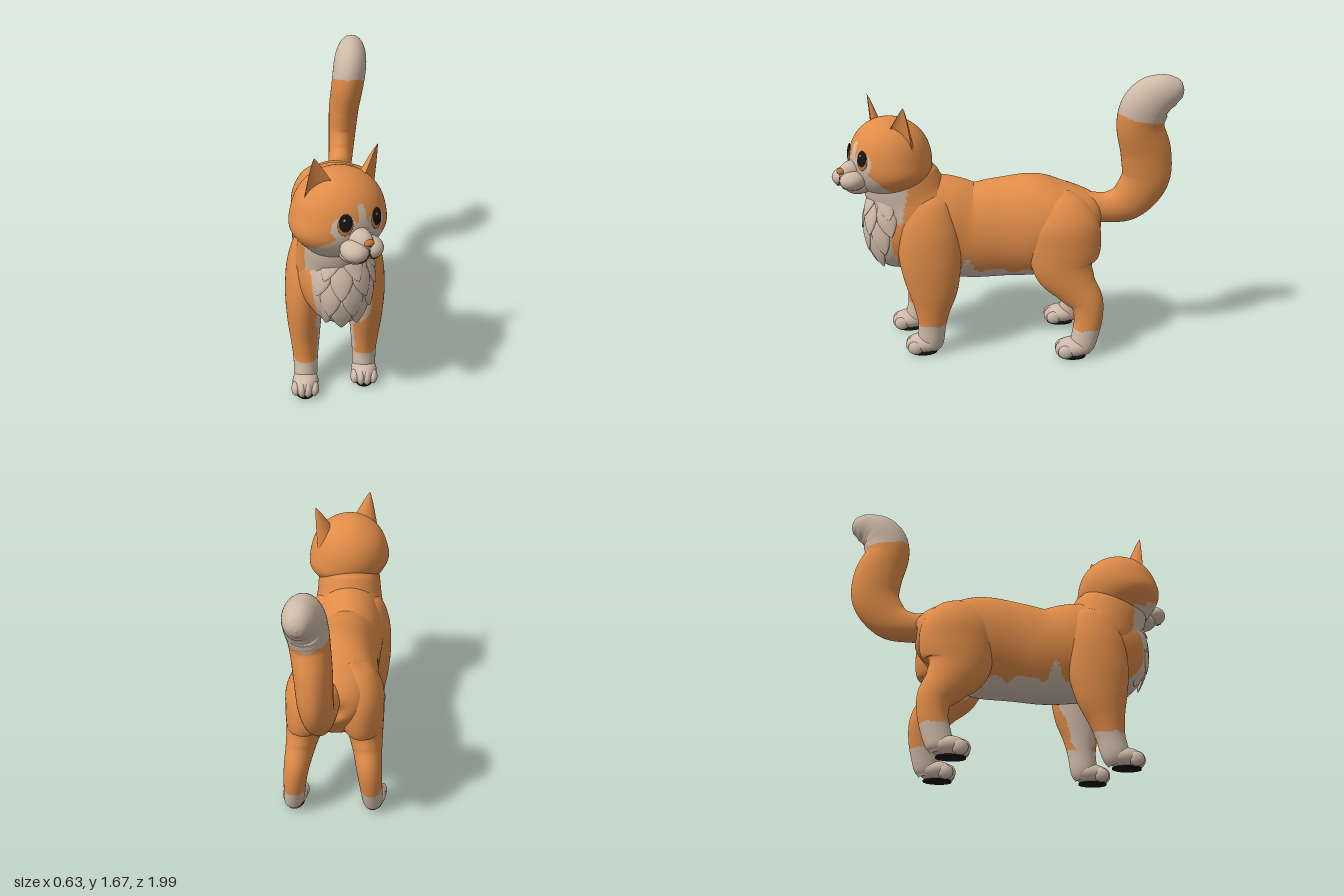
import * as THREE from 'three';

const mat = (name, color) => Object.assign(new THREE.MeshStandardMaterial({ color }), { name });
const V = (x, y, z) => new THREE.Vector3(x, y, z);

export function createModel() {
  const orange = mat('orange fur', 0xe08c48), cream = mat('cream fur', 0xcfbaa8);
  const black = mat('black', 0x181514), amber = mat('amber', 0xc9783a);
  const brown = mat('mouth brown', 0x6b4a38);
  const cat = new THREE.Group();
  cat.name = 'cat';

  const add = (parent, name, geo, material, pos = [0, 0, 0], scale = [1, 1, 1]) => {
    const m = new THREE.Mesh(geo, material);
    m.name = name;
    m.position.set(...pos);
    m.scale.set(...scale);
    parent.add(m);
    return m;
  };

  // Sorts triangles into orange and cream groups by a rule on their centres
  const paint = (geo, isCream) => {
    const p = geo.attributes.position, idx = geo.index.array, sets = [[], []];
    for (let i = 0; i < idx.length; i += 3) {
      const t = [idx[i], idx[i + 1], idx[i + 2]];
      const c = t.reduce((s, k) => s.add(V(p.getX(k), p.getY(k), p.getZ(k))), V(0, 0, 0)).divideScalar(3);
      sets[isCream(c.x, c.y, c.z) ? 1 : 0].push(...t);
    }
    geo.setIndex(sets[0].concat(sets[1]));
    geo.clearGroups();
    geo.addGroup(0, sets[0].length, 0);
    geo.addGroup(sets[0].length, sets[1].length, 1);
    return geo;
  };

  // Smooth skin through elliptical sections [x, y, z, half width, half depth]
  const loft = (sections, rings, sides) => {
    const path = new THREE.CatmullRomCurve3(sections.map(s => V(s[0], s[1], s[2])), false, 'catmullrom', 0.5);
    const size = new THREE.CatmullRomCurve3(sections.map(s => V(s[3], s[4], 0)), false, 'catmullrom', 0.5);
    const pos = [], index = [], X = V(1, 0, 0);
    for (let i = 0; i <= rings; i++) {
      const t = i / rings, c = path.getPoint(t), r = size.getPoint(t);
      const N = path.getTangent(t).cross(X).normalize();
      for (let j = 0; j < sides; j++) {
        const a = j / sides * Math.PI * 2;
        const v = c.clone().addScaledVector(X, Math.max(r.x, 0.0005) * Math.cos(a))
          .addScaledVector(N, Math.max(r.y, 0.0005) * Math.sin(a));
        pos.push(v.x, v.y, v.z);
        if (i < rings) {
          const k = i * sides, n = (j + 1) % sides;
          index.push(k + j, k + n, k + sides + j, k + n, k + sides + n, k + sides + j);
        }
      }
    }
    const g = new THREE.BufferGeometry();
    g.setAttribute('position', new THREE.Float32BufferAttribute(pos, 3));
    g.setIndex(index);
    g.computeVertexNormals();
    return g;
  };
  const fur = [orange, cream];
  const wave = z => 0.012 * Math.sin(z * 31) + 0.008 * Math.sin(z * 57 + 1);

  // Torso with cream belly and chest
  add(cat, 'torso', paint(loft([
    [0, 0.84, -0.572, 0, 0], [0, 0.84, -0.55, 0.12, 0.10], [0, 0.82, -0.46, 0.21, 0.18],
    [0, 0.785, -0.32, 0.245, 0.27], [0, 0.76, -0.17, 0.24, 0.31], [-0.015, 0.735, 0.02, 0.21, 0.305],
    [-0.02, 0.715, 0.2, 0.205, 0.295], [-0.01, 0.75, 0.38, 0.22, 0.31], [0, 0.77, 0.55, 0.215, 0.3],
    [0.01, 0.77, 0.7, 0.175, 0.24], [0.01, 0.77, 0.78, 0.11, 0.15], [0.01, 0.77, 0.81, 0, 0],
  ], 130, 90), (x, y, z) => (z > -0.25 && y < 0.51 + wave(z) + 0.08 * Math.exp(-(((z - 0.22) / 0.035) ** 2)))
    || (z > 0.59 + (0.95 - y) * 0.12 && Math.abs(x - 0.035) < 0.135 + Math.max(0, y - 0.65) * 0.12)), fur);

  // Neck
  add(cat, 'neck', paint(loft([
    [0, 0.66, 0.48, 0.17, 0.15], [0, 0.82, 0.52, 0.215, 0.24], [0.005, 0.95, 0.575, 0.203, 0.23],
    [0.012, 1.06, 0.62, 0.19, 0.22], [0.02, 1.18, 0.64, 0.16, 0.18],
  ], 60, 64), (x, y, z) => z > 0.57 + (0.95 - y) * 0.2 && Math.abs(x - 0.03) < 0.185), fur);

  // Chest ruff: a rounded bib covered with overlapping pointed tufts
  const ruff = new THREE.Group();
  ruff.name = 'chestRuff';
  cat.add(ruff);
  const rc = [0.035, 0.79, 0.65], rr = [0.165, 0.28, 0.18];
  add(ruff, 'bib', new THREE.SphereGeometry(1, 40, 32), cream, rc, rr);
  const tuftGeo = new THREE.SphereGeometry(1, 18, 16);
  const tp = tuftGeo.attributes.position;
  for (let i = 0; i < tp.count; i++) {
    const y = tp.getY(i), w = y < 0 ? Math.pow(1 + y, 0.35) : 1;
    tp.setXYZ(i, tp.getX(i) * 0.058 * w, y * 0.105, tp.getZ(i) * 0.018 * w);
  }
  tuftGeo.computeVertexNormals();
  [[0.6, 4, 1.35], [0.22, 5, 1.4], [-0.2, 4, 1.15], [-0.6, 3, 0.8]].forEach(([el, n, spread]) => {
    for (let i = 0; i < n; i++) {
      const a = (i / (n - 1) * 2 - 1) * spread;
      const d = [Math.sin(a) * Math.cos(el), Math.sin(el), Math.cos(a) * Math.cos(el)];
      const p = d.map((v, k) => rc[k] + v * rr[k] * 0.975);
      const tuft = add(ruff, 'tuft', tuftGeo, cream, p);
      tuft.lookAt(p[0] + d[0] / rr[0], p[1] + d[1] / rr[1] + 0.6, p[2] + d[2] / rr[2]);
      tuft.rotateZ(a * 0.2);
    }
  });

  // Paw with four toes and a dark sole
  const paw = (name, x, z) => {
    const g = new THREE.Group();
    g.name = name;
    g.position.set(x, 0, z);
    cat.add(g);
    add(g, 'foot', new THREE.SphereGeometry(1, 28, 20), cream, [0, 0.064, 0.004], [0.074, 0.059, 0.102]);
    for (let i = 0; i < 4; i++) {
      const k = i - 1.5, out = Math.abs(k) > 1;
      add(g, 'toe', new THREE.SphereGeometry(1, 18, 14), cream,
        [k * 0.035, out ? 0.05 : 0.055, out ? 0.054 : 0.07], [0.026, out ? 0.042 : 0.049, 0.046]);
    }
    add(g, 'sole', new THREE.CylinderGeometry(1, 1, 0.009, 28), black, [0, 0.0055, 0.012], [0.056, 1, 0.082]);
  };

  // Front and back legs, one of each pair stepping a little forward
  for (const s of [1, -1]) {
    const side = s > 0 ? 'left' : 'right';
    const step = s > 0 ? 0 : 0.115;
    const place = (list, st) => list.map(([x, y, z, rx, rz]) => [x * s, y, z + st * Math.max(0, 1 - y / 0.85), rx, rz]);
    add(cat, side + 'FrontLeg', paint(loft(place([
      [0.1, 1.0, 0.45, 0.03, 0.05], [0.118, 0.93, 0.45, 0.095, 0.13], [0.147, 0.78, 0.45, 0.117, 0.175],
      [0.168, 0.6, 0.44, 0.11, 0.18], [0.173, 0.42, 0.43, 0.096, 0.15], [0.17, 0.28, 0.435, 0.08, 0.105],
      [0.168, 0.18, 0.44, 0.07, 0.083], [0.168, 0.08, 0.45, 0.066, 0.078], [0.168, 0.03, 0.46, 0.05, 0.06],
    ], step), 80, 52), (x, y, z) => y < 0.195 + 0.005 * Math.sin(z * 60)
      || (Math.abs(x) < (s > 0 ? 0.11 : 0.1) + wave(y) * 0.4 && y < 0.62)
      || (s > 0 && z > 0.49 && y > 0.37 && y < 0.6 && x < Math.min(0.2, 0.08 + (y - 0.37) * 0.75))), fur);
    paw(side + 'FrontPaw', 0.168 * s, 0.485 + step);

    const back = s > 0 ? 0 : 0.04;
    add(cat, side + 'BackLeg', paint(loft(place([
      [0.09, 1.0, -0.33, 0.02, 0.04], [0.11, 0.94, -0.33, 0.1, 0.13], [0.135, 0.82, -0.335, 0.138, 0.205],
      [0.15, 0.68, -0.34, 0.132, 0.218], [0.17, 0.55, -0.345, 0.11, 0.182], [0.192, 0.44, -0.41, 0.088, 0.13],
      [0.208, 0.35, -0.475, 0.076, 0.1], [0.22, 0.25, -0.49, 0.068, 0.085], [0.228, 0.15, -0.475, 0.064, 0.08],
      [0.235, 0.07, -0.455, 0.06, 0.075], [0.235, 0.03, -0.45, 0.045, 0.055],
    ], back), 72, 48), (x, y, z) => y < 0.185 + 0.005 * Math.sin(z * 60)
      || (Math.abs(x) < 0.1 && y < 0.56 && z > -0.4)), fur);
    paw(side + 'BackPaw', 0.236 * s, -0.41 + back);
  }

  // Tail with cream tip
  add(cat, 'tail', paint(loft([
    [0.02, 0.88, -0.46, 0.075, 0.09], [0.025, 0.87, -0.6, 0.075, 0.092], [0.035, 0.915, -0.725, 0.08, 0.12],
    [0.045, 1.05, -0.815, 0.09, 0.14], [0.055, 1.21, -0.81, 0.098, 0.145], [0.075, 1.36, -0.768, 0.103, 0.135],
    [0.088, 1.46, -0.778, 0.106, 0.138], [0.095, 1.53, -0.822, 0.103, 0.13], [0.1, 1.565, -0.885, 0.09, 0.108],
    [0.102, 1.575, -0.945, 0.07, 0.082], [0.103, 1.573, -0.985, 0.038, 0.042], [0.103, 1.572, -0.998, 0, 0],
  ], 100, 48), (x, y, z) => y > 1.42 + (z + 0.77) * 0.2 + 0.005 * Math.sin(x * 60)), fur);

  // Head, turned towards its left; the skull sits slightly aside of the face
  const head = new THREE.Group();
  head.name = 'head';
  head.position.set(0.003, 1.18, 0.686);
  head.rotation.set(0, 0.65, -0.05, 'YXZ');
  cat.add(head);
  const R = [0.245, 0.24, 0.225], shift = 0.022;
  const skull = new THREE.SphereGeometry(1, 100, 84);
  const sp = skull.attributes.position;
  for (let i = 0; i < sp.count; i++) {
    const y = sp.getY(i), z = sp.getZ(i), cheek = 1 + 0.1 * Math.exp(-Math.pow((y + 0.3) / 0.32, 2));
    sp.setXYZ(i, sp.getX(i) * R[0] * cheek, y * R[1], z * (z > 0 ? R[2] : 0.245));
  }
  skull.computeVertexNormals();
  add(head, 'skull', paint(skull, (x, y, z) => {
    const ax = Math.abs(x + shift);
    if (z < 0) return y < -0.16 && z > -0.08;
    return (y < -0.035 - Math.max(0, ax - 0.12) * 0.9 && ax < 0.16 + (-0.035 - y) * 0.35)
      || (y < 0.12 && ax < 0.012 + (0.12 - y) * 0.2)
      || Math.hypot((ax - 0.09) / 0.062, (y - 0.01) / 0.062) < 1;
  }), fur, [shift, 0, 0]);

  // Muzzle, chin, nose and mouth
  const muzzle = new THREE.Group();
  muzzle.name = 'muzzle';
  muzzle.position.set(-0.016, 0, -0.008);
  head.add(muzzle);
  for (const s of [1, -1]) {
    add(muzzle, 'whiskerPad', new THREE.SphereGeometry(1, 28, 22), cream, [0.047 * s, -0.095, 0.25], [0.068, 0.056, 0.078]);
    const lip = new THREE.CatmullRomCurve3([V(0, -0.075, 0.311), V(0.004 * s, -0.105, 0.31), V(0.03 * s, -0.135, 0.305), V(0.06 * s, -0.134, 0.304)]);
    add(muzzle, 'mouthLine', new THREE.TubeGeometry(lip, 16, 0.0035, 6), brown);
  }
  add(muzzle, 'muzzleBridge', new THREE.SphereGeometry(1, 24, 18), cream, [0, -0.055, 0.22], [0.06, 0.065, 0.09]);
  add(muzzle, 'chin', new THREE.SphereGeometry(1, 24, 18), cream, [0, -0.145, 0.19], [0.075, 0.05, 0.085]);
  add(muzzle, 'nose', new THREE.SphereGeometry(1, 20, 16), amber, [0, -0.043, 0.303], [0.028, 0.018, 0.02]);

  // Ear: a cone whose front half is pushed in to make a hollow
  const earGeo = new THREE.ConeGeometry(0.115, 0.3, 48, 20, true);
  const ep = earGeo.attributes.position;
  for (let i = 0; i < ep.count; i++) {
    const t = (ep.getY(i) + 0.15) / 0.3, f = Math.pow(Math.max(1 - t, 0.001), -0.15), z = ep.getZ(i) * f;
    ep.setXYZ(i, ep.getX(i) * f, ep.getY(i), z > 0 ? -z * 0.25 : z * 0.8);
  }
  earGeo.computeVertexNormals();

  for (const s of [1, -1]) {
    const side = s > 0 ? 'left' : 'right';
    const ear = add(head, side + 'Ear', earGeo, orange, [0.162 * s + 0.03, 0.192, 0.03]);
    ear.rotation.set(0, 0.45 * s, -0.24 * s, 'ZYX');

    // Eye set on the curve of the face
    const ex = 0.09 * s, dx = ex - shift, ey = 0.035;
    const ez = R[2] * Math.sqrt(1 - (dx / R[0]) ** 2 - (ey / R[1]) ** 2);
    const eye = new THREE.Group();
    eye.name = side + 'Eye';
    eye.position.set(ex, ey, ez);
    eye.rotation.set(-0.12, Math.atan2(dx / R[0] ** 2, ez / R[2] ** 2), 0, 'YXZ');
    head.add(eye);
    add(eye, 'iris', new THREE.SphereGeometry(1, 28, 20), amber, [0, -0.006, 0], [0.039, 0.053, 0.009]);
    add(eye, 'pupil', new THREE.SphereGeometry(1, 28, 20), black, [0, 0.004, 0.002], [0.035, 0.049, 0.01]);
    add(eye, 'glint', new THREE.SphereGeometry(1, 12, 10), cream, [-0.008, 0.024, 0.01], [0.006, 0.007, 0.002]);
  }
  return cat;
}
